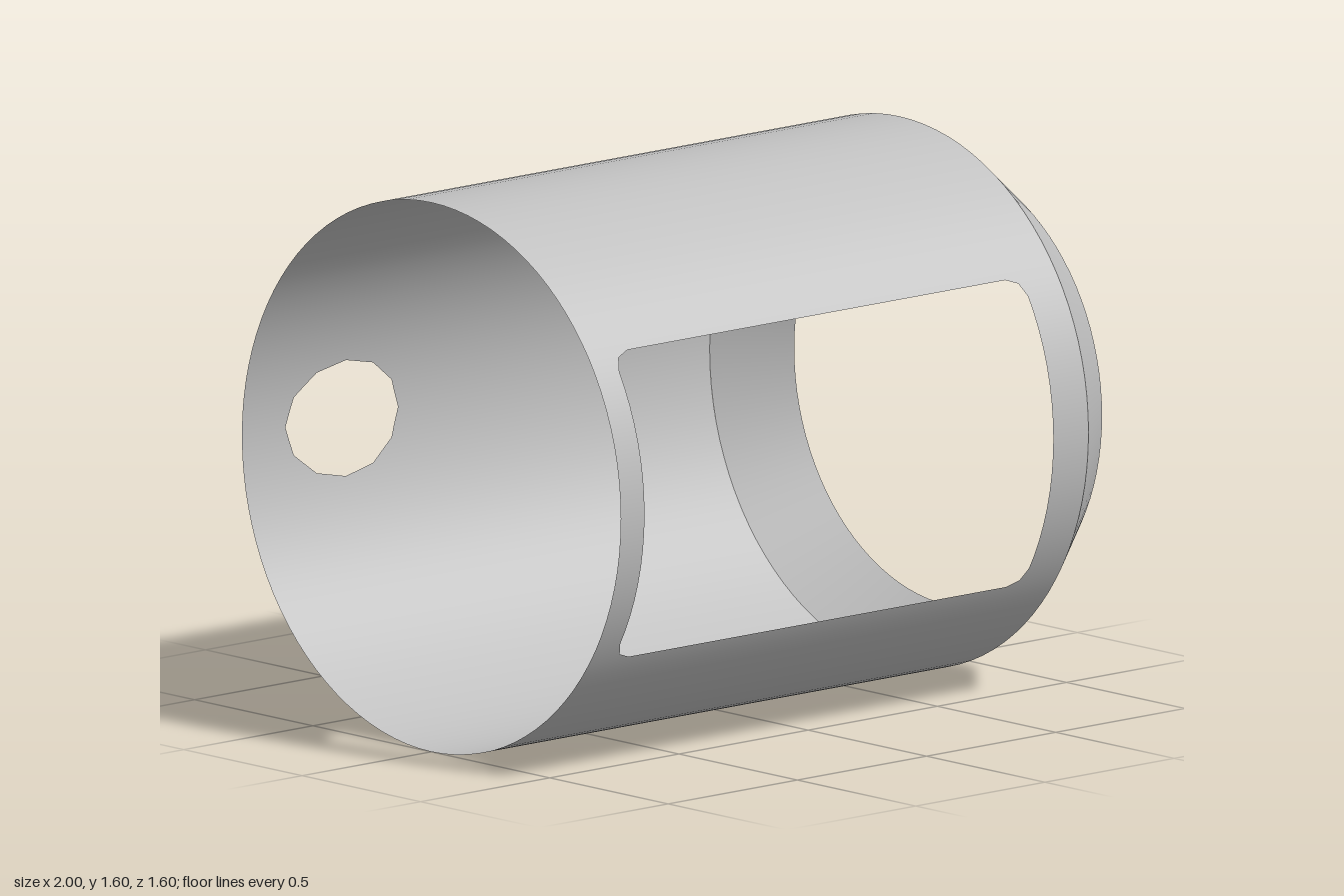
import * as THREE from 'three';

const R = 0.8, LEFT = -1, SHOULDER = 0.81, RIGHT = 1, END_R = 0.65;

// Cutouts are convex outlines of [x, angle]; angle 0 is the front, PI the back.
function windowOutline() {
  const x0 = -0.908, x1 = 0.674, a0 = Math.asin(-0.443 / R), a1 = Math.asin(0.45 / R);
  const r = 0.06, points = [];
  const corners = [[x1 - r, a1 - r / R], [x0 + r, a1 - r / R], [x0 + r, a0 + r / R], [x1 - r, a0 + r / R]];
  corners.forEach(([cx, ca], i) => {
    for (let k = 0; k <= 2; k++) {
      const t = (i + k / 2) * Math.PI / 2;
      points.push([cx + r * Math.cos(t), ca + r / R * Math.sin(t)]);
    }
  });
  return points;
}

function holeOutline() {
  return Array.from({ length: 12 }, (_, i) => {
    const t = i * Math.PI / 6;
    return [-0.614 + 0.218 * Math.cos(t), Math.PI + Math.asin(0.169 * Math.sin(t) / R)];
  });
}

// The x range a convex outline covers at one angle
function spanAt(outline, a) {
  let lo = Infinity, hi = -Infinity;
  outline.forEach(([xa, aa], i) => {
    const [xb, ab] = outline[(i + 1) % outline.length];
    if (a < Math.min(aa, ab) - 1e-6 || a > Math.max(aa, ab) + 1e-6) return;
    const flat = Math.abs(ab - aa) < 1e-6;
    const xs = flat ? [xa, xb] : [xa + (xb - xa) * (a - aa) / (ab - aa)];
    lo = Math.min(lo, ...xs);
    hi = Math.max(hi, ...xs);
  });
  return [lo, hi];
}

// Cylinder wall made of narrow lengthwise bands, interrupted at the cutouts
function wallGeometry(cutouts) {
  const start = -Math.PI / 2, steps = 96;
  let angles = Array.from({ length: steps + 1 }, (_, i) => start + i * 2 * Math.PI / steps);
  cutouts.forEach(o => o.forEach(p => angles.push(p[1])));
  angles.sort((a, b) => a - b);
  angles = angles.filter((a, i) => i === 0 || a - angles[i - 1] > 1e-5);

  const positions = [], normals = [], indices = [];
  const vertex = (x, a) => {
    positions.push(x, R + R * Math.sin(a), R * Math.cos(a));
    normals.push(0, Math.sin(a), Math.cos(a));
  };
  const panel = (a, b, l, r) => {
    const n = positions.length / 3;
    vertex(l[0], a); vertex(r[0], a); vertex(r[1], b); vertex(l[1], b);
    indices.push(n, n + 1, n + 2, n, n + 2, n + 3);
  };
  for (let i = 0; i < angles.length - 1; i++) {
    const a = angles[i], b = angles[i + 1], mid = (a + b) / 2;
    const cut = cutouts.find(o => mid > Math.min(...o.map(p => p[1])) && mid < Math.max(...o.map(p => p[1])));
    if (cut) {
      const [la, ra] = spanAt(cut, a), [lb, rb] = spanAt(cut, b);
      panel(a, b, [LEFT, LEFT], [la, lb]);
      panel(a, b, [ra, rb], [SHOULDER, SHOULDER]);
    } else {
      panel(a, b, [LEFT, LEFT], [SHOULDER, SHOULDER]);
    }
  }
  const geometry = new THREE.BufferGeometry();
  geometry.setAttribute('position', new THREE.Float32BufferAttribute(positions, 3));
  geometry.setAttribute('normal', new THREE.Float32BufferAttribute(normals, 3));
  geometry.setIndex(indices);
  return geometry;
}

export function createModel() {
  const group = new THREE.Group();
  group.name = 'sleeve';
  const metal = new THREE.MeshStandardMaterial({ color: 0xc0c0c0, side: THREE.DoubleSide });
  metal.name = 'light grey';

  // Thin wall with the front window and the back hole
  const wall = new THREE.Mesh(wallGeometry([windowOutline(), holeOutline()]), metal);
  wall.name = 'sleeveWall';

  // Tapered open end
  const taper = new THREE.CylinderGeometry(END_R, R, RIGHT - SHOULDER, 96, 1, true);
  taper.rotateZ(-Math.PI / 2);
  taper.translate((SHOULDER + RIGHT) / 2, R, 0);
  const end = new THREE.Mesh(taper, metal);
  end.name = 'taperedEnd';

  group.add(wall, end);
  return group;
}
